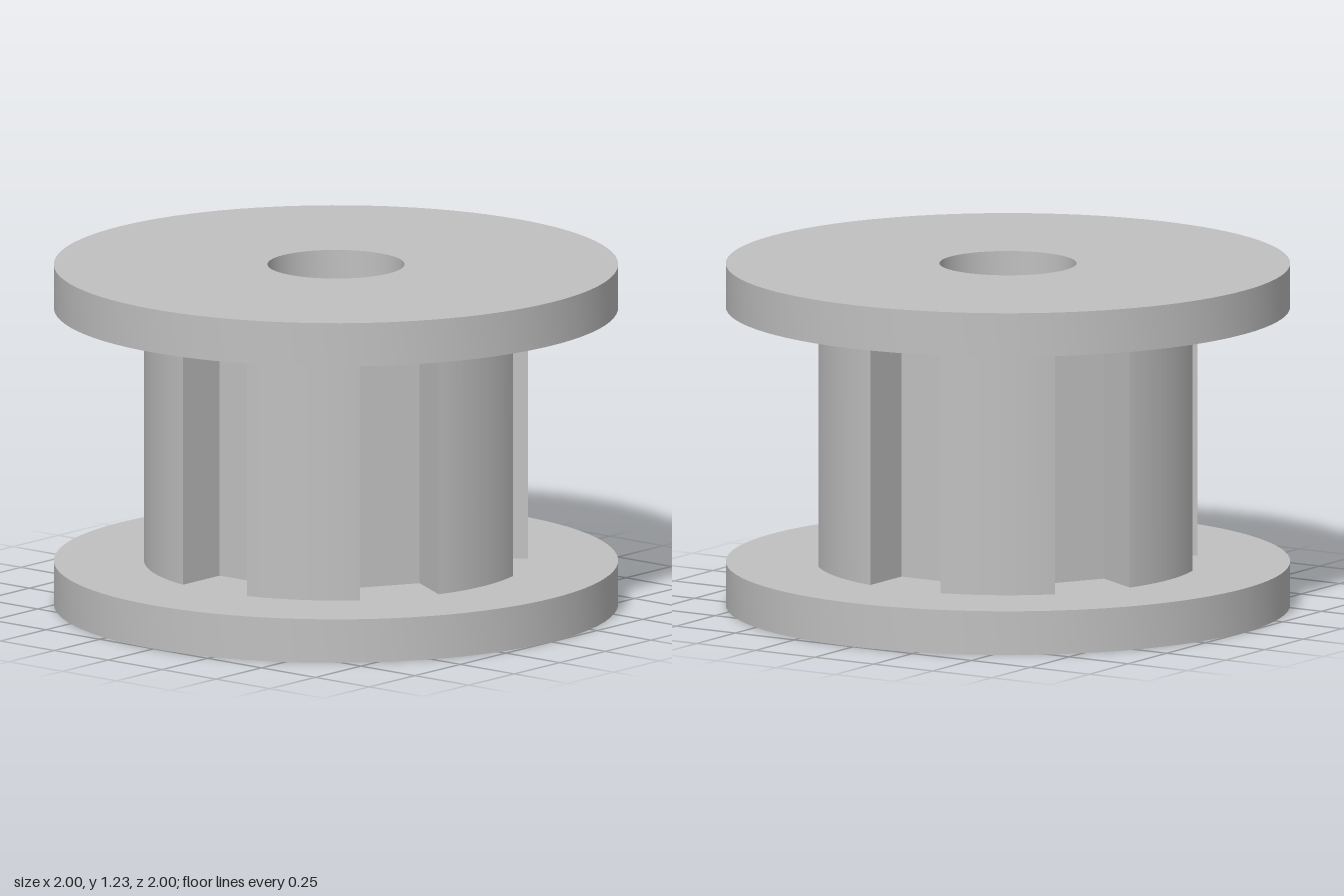
import * as THREE from 'three';
import { toCreasedNormals } from 'three/addons/utils/BufferGeometryUtils.js';

const HEIGHT = 1.23, FLANGE = 0.157, BORE = 0.243;
const TEETH = 6, TOOTH_RADIUS = 0.68, GROOVE_FLOOR = 0.463, GROOVE_HALF = 0.148;

// Extrudes a shape with the central bore upward from y = bottom
function boredPrism(name, shape, bottom, height, curveSegments, material) {
  shape.holes.push(new THREE.Path().absarc(0, 0, BORE, 0, Math.PI * 2, true));
  const solid = new THREE.ExtrudeGeometry(shape, { depth: height, bevelEnabled: false, curveSegments });
  solid.rotateX(-Math.PI / 2).translate(0, bottom, 0);
  const mesh = new THREE.Mesh(toCreasedNormals(solid, 0.5), material);
  mesh.name = name;
  return mesh;
}

function flangeShape() {
  return new THREE.Shape().absarc(0, 0, 1, 0, Math.PI * 2, false);
}

// Round core cut by flat-bottomed, parallel-sided grooves
function toothedShape() {
  const shape = new THREE.Shape();
  const step = (Math.PI * 2) / TEETH;
  const half = Math.asin(GROOVE_HALF / TOOTH_RADIUS);
  for (let i = 0; i < TEETH; i++) {
    const a = i * step, c = Math.cos(a), s = Math.sin(a);
    for (const v of [-GROOVE_HALF, GROOVE_HALF]) {
      const x = GROOVE_FLOOR * c - v * s, y = GROOVE_FLOOR * s + v * c;
      if (i === 0 && v < 0) shape.moveTo(x, y);
      else shape.lineTo(x, y);
    }
    shape.absarc(0, 0, TOOTH_RADIUS, a + half, a + step - half, false);
  }
  shape.closePath();
  return shape;
}

export function createModel() {
  const metal = new THREE.MeshStandardMaterial({ color: 0xc0c0c0 });
  metal.name = 'grey metal';

  const pulley = new THREE.Group();
  pulley.name = 'toothedPulley';
  pulley.add(
    boredPrism('bottomFlange', flangeShape(), 0, FLANGE, 48, metal),
    boredPrism('toothedCore', toothedShape(), FLANGE, HEIGHT - 2 * FLANGE, 48, metal),
    boredPrism('topFlange', flangeShape(), HEIGHT - FLANGE, FLANGE, 48, metal),
  );
  return pulley;
}
